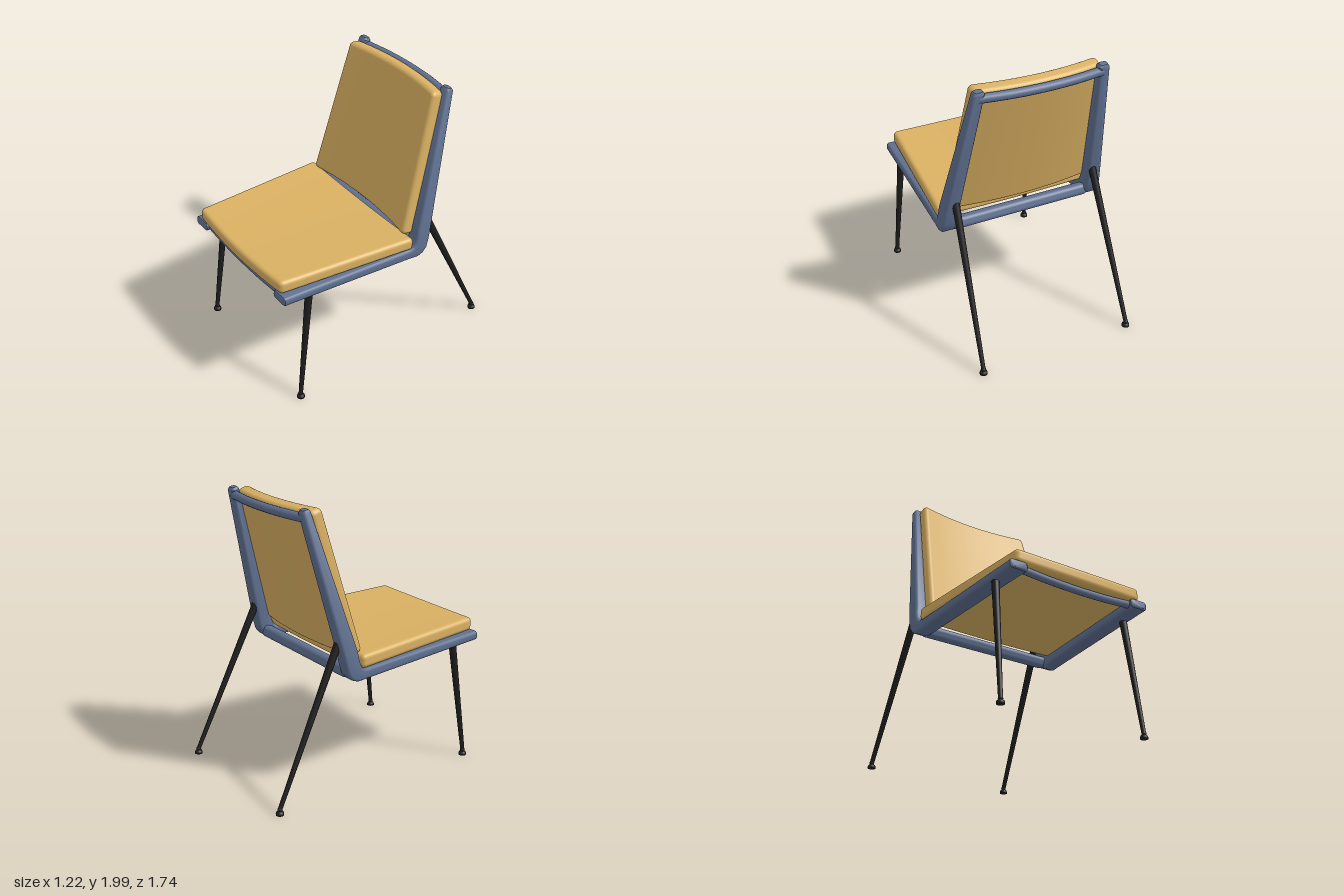
import * as THREE from 'three';
import { mergeVertices, toCreasedNormals } from 'three/addons/utils/BufferGeometryUtils.js';
import { RoundedBoxGeometry } from 'three/addons/geometries/RoundedBoxGeometry.js';

const { lerp, clamp } = THREE.MathUtils;

const fabric = new THREE.MeshStandardMaterial({ color: 0xd9b062 });
fabric.name = 'mustard fabric';
const paint = new THREE.MeshStandardMaterial({ color: 0x5f7090 });
paint.name = 'slate blue frame';
const metal = new THREE.MeshStandardMaterial({ color: 0x1e1e1e });
metal.name = 'black metal';

function add(parent, name, geometry, material) {
  const mesh = new THREE.Mesh(geometry, material);
  mesh.name = name;
  parent.add(mesh);
  return mesh;
}

// Rounded pad: a x b wide, c thick, radius r; warp(p) then bends it into place.
// p.x and p.y run over the pad, p.z is the thickness.
function pad(a, b, c, r, warp) {
  const size = [a, b, c], n = [22, 18, 9], k = 4;
  const g = new THREE.BoxGeometry(a, b, c, ...n);
  g.deleteAttribute('uv');
  g.deleteAttribute('normal');
  const pos = g.attributes.position;
  const p = new THREE.Vector3(), inner = new THREE.Vector3();
  for (let v = 0; v < pos.count; v++) {
    p.fromBufferAttribute(pos, v);
    size.forEach((s, axis) => {
      const h = s / 2, m = n[axis];
      const i = Math.round((p.getComponent(axis) / s + 0.5) * m);
      let q;
      // gather k segments in each rounded edge
      if (i <= k) q = -h + r * (1 - Math.tan((1 - i / k) * Math.PI / 4));
      else if (i >= m - k) q = h - r * (1 - Math.tan((1 - (m - i) / k) * Math.PI / 4));
      else q = lerp(-h + r, h - r, (i - k) / (m - 2 * k));
      if (i <= k) q = -h + r - r * Math.tan((1 - i / k) * Math.PI / 4);
      p.setComponent(axis, q);
      inner.setComponent(axis, clamp(q, -h + r, h - r));
    });
    p.sub(inner).setLength(r).add(inner);
    warp(p);
    pos.setXYZ(v, p.x, p.y, p.z);
  }
  const merged = mergeVertices(g, 1e-5);
  merged.computeVertexNormals();
  return merged;
}

// Side frame stations: underside z, y; upper side z, y; inner x, outer x
const stations = [
  [0.858, 0.89, 0.858, 0.93, 0.44, 0.555],
  [0.85, 0.88, 0.85, 0.942, 0.43, 0.566],
  [-0.17, 0.816, -0.15, 0.894, 0.49, 0.605],
  [-0.23, 0.813, -0.18, 0.898, 0.497, 0.61],
  [-0.275, 0.83, -0.198, 0.91, 0.5, 0.612],
  [-0.305, 0.865, -0.21, 0.935, 0.5, 0.612],
  [-0.325, 0.93, -0.222, 0.975, 0.5, 0.61],
  [-0.34, 1.0, -0.23, 1.03, 0.497, 0.604],
  [-0.573, 1.965, -0.513, 1.98, 0.405, 0.484],
  [-0.565, 1.985, -0.525, 1.993, 0.415, 0.474],
];

// Sweep a rounded rectangle through the stations
function sideFrame(side) {
  const verts = [], index = [], steps = 3, ringSize = 16;
  const tri = (a, b, c) => (side > 0 ? index.push(a, b, c) : index.push(a, c, b));
  for (const [z0, y0, z1, y1, xi, xo] of stations) {
    const w = xo - xi, h = Math.hypot(z1 - z0, y1 - y0);
    const r = Math.min(0.02, h * 0.4);
    const corners = [[w - r, r, -0.5], [w - r, h - r, 0], [r, h - r, 0.5], [r, r, 1]];
    for (const [cx, cy, start] of corners) {
      for (let s = 0; s <= steps; s++) {
        const t = (start + s / steps / 2) * Math.PI;
        const f = (cy + r * Math.sin(t)) / h;
        verts.push(side * (xi + cx + r * Math.cos(t)), lerp(y0, y1, f), lerp(z0, z1, f));
      }
    }
  }
  const last = (stations.length - 1) * ringSize;
  for (let j = 0; j < ringSize; j++) {
    const j1 = (j + 1) % ringSize;
    for (let o = 0; o < last; o += ringSize) {
      tri(o + j, o + ringSize + j, o + j1);
      tri(o + j1, o + ringSize + j, o + ringSize + j1);
    }
    if (j > 0 && j1 > 0) {
      tri(0, j, j1);
      tri(last, last + j1, last + j);
    }
  }
  const g = new THREE.BufferGeometry();
  g.setAttribute('position', new THREE.Float32BufferAttribute(verts, 3));
  g.setIndex(index);
  return toCreasedNormals(g, 0.65);
}

// Bowed round bar through mirrored ends and a middle point
function bar(x, yEnd, zEnd, yMid, zMid, r) {
  const pts = [-1, -0.5, 0, 0.5, 1].map((t) => new THREE.Vector3(
    x * t, lerp(yMid, yEnd, t * t), lerp(zMid, zEnd, t * t)));
  return new THREE.TubeGeometry(new THREE.CatmullRomCurve3(pts), 28, r, 14);
}

// Tapered leg with a small swivel foot
function leg(name, top, bottom) {
  const group = new THREE.Group();
  group.name = name;
  const a = new THREE.Vector3(...top), b = new THREE.Vector3(...bottom);
  const d = a.clone().sub(b);
  const shaft = add(group, 'legShaft', new THREE.CylinderGeometry(0.027, 0.015, d.length(), 18), metal);
  shaft.position.copy(a).add(b).multiplyScalar(0.5);
  shaft.quaternion.setFromUnitVectors(new THREE.Vector3(0, 1, 0), d.normalize());
  const joint = add(group, 'footJoint', new THREE.SphereGeometry(0.017, 14, 10), metal);
  joint.position.copy(b);
  const profile = [[0, 0], [0.028, 0], [0.028, 0.01], [0.024, 0.021], [0.014, 0.029], [0, 0.031]];
  const foot = add(group, 'foot', new THREE.LatheGeometry(
    profile.map(([x, y]) => new THREE.Vector2(x, y)), 18), metal);
  foot.position.set(b.x, 0, b.z);
  return group;
}

export function createModel() {
  const chair = new THREE.Group();
  chair.name = 'loungeChair';

  // Seat cushion: widens to the rear, bowed front, slightly dished
  const seat = pad(2, 1.04, 0.098, 0.032, (p) => {
    const t = p.y / 1.04 + 0.5;              // 0 front, 1 rear
    const half = lerp(0.512, 0.603, t);
    // keep the rounded side edges at true size
    const x = Math.sign(p.x) * (Math.abs(p.x) > 0.968
      ? half - (1 - Math.abs(p.x)) : Math.abs(p.x) / 0.968 * (half - 0.032));
    const bow = 1 - (x / half) ** 2;
    p.set(x, lerp(0.989, 0.94, t) + p.z - 0.013 * bow, lerp(0.848, -0.192, t) + 0.022 * bow * (1 - t));
  });
  add(chair, 'seatCushion', seat, fabric);

  // Back cushion: leaning, narrowing upwards, curved around the sitter
  const lean = Math.atan2(0.275, 1);
  const back = pad(2, 1.04, 0.1, 0.035, (p) => {
    const t = p.y / 1.04 + 0.5;              // 0 bottom, 1 top
    const half = lerp(0.535, 0.46, t);
    const x = Math.sign(p.x) * (Math.abs(p.x) > 0.965
      ? half - (1 - Math.abs(p.x)) : Math.abs(p.x) / 0.965 * (half - 0.035));
    const bow = 1 - (x / half) ** 2;
    const along = t * 1.04, out = p.z - 0.05;
    p.set(x,
      0.99 + along * Math.cos(lean) + out * Math.sin(lean),
      -0.138 - along * Math.sin(lean) + out * Math.cos(lean) - 0.052 * bow);
  });
  add(chair, 'backCushion', back, fabric);

  // Frame sides and legs
  for (const side of [1, -1]) {
    const label = side > 0 ? 'left' : 'right';
    add(chair, label + 'SideFrame', sideFrame(side), paint);
    chair.add(leg(label + 'FrontLeg', [side * 0.534, 0.9, 0.643], [side * 0.568, 0.036, 0.755]));
    chair.add(leg(label + 'RearLeg', [side * 0.525, 1.085, -0.342], [side * 0.568, 0.036, -0.838]));
  }

  // Cross rails
  add(chair, 'topRail', bar(0.44, 1.933, -0.54, 1.933, -0.581, 0.031), paint);
  add(chair, 'frontRail', bar(0.46, 0.912, 0.81, 0.89, 0.815, 0.026), paint);
  const rear = add(chair, 'rearRail', new RoundedBoxGeometry(1.06, 0.085, 0.09, 4, 0.032), paint);
  rear.position.set(0, 0.863, -0.252);
  rear.rotation.x = 0.3;

  return chair;
}
